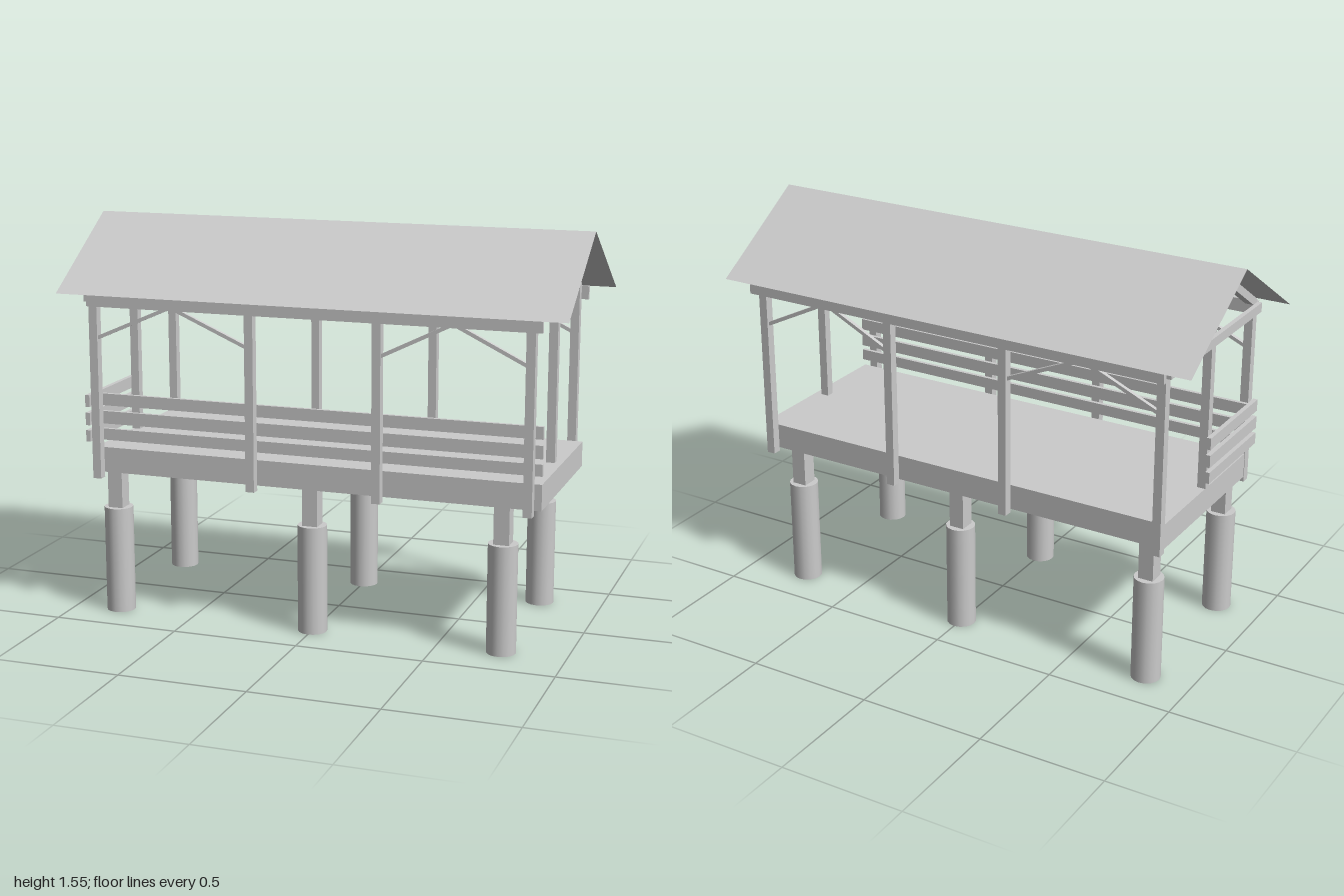
import * as THREE from 'three';

const material = new THREE.MeshStandardMaterial({ color: 0xcccccc });
const sheetMaterial = new THREE.MeshStandardMaterial({ color: 0xcccccc, side: THREE.DoubleSide });

export function createModel() {
  const model = new THREE.Group();

  // Box given by its minimum and maximum on each axis
  function box(name, x0, x1, y0, y1, z0, z1) {
    const mesh = new THREE.Mesh(new THREE.BoxGeometry(x1 - x0, y1 - y0, z1 - z0), material);
    mesh.position.set((x0 + x1) / 2, (y0 + y1) / 2, (z0 + z1) / 2);
    mesh.name = name;
    model.add(mesh);
    return mesh;
  }

  // Square-cut timber running from point a to point b
  function beam(name, a, b, width, height) {
    const start = new THREE.Vector3(...a), end = new THREE.Vector3(...b);
    const mesh = new THREE.Mesh(new THREE.BoxGeometry(width, height, start.distanceTo(end)), material);
    mesh.position.copy(start).lerp(end, 0.5);
    mesh.lookAt(end);
    mesh.name = name;
    model.add(mesh);
  }

  // Round piers with square stubs carrying the floor
  const pierGeometry = new THREE.CylinderGeometry(0.057, 0.057, 0.425, 16);
  for (const x of [-0.815, 0, 0.75]) {
    for (const z of [0.31, -0.32]) {
      const pier = new THREE.Mesh(pierGeometry, material);
      pier.position.set(x, 0.2125, z);
      pier.name = 'pier';
      model.add(pier);
      box('pierStub', x - 0.03, x + 0.03, 0.42, 0.57, z - 0.031, z + 0.031);
    }
  }

  // Floor deck
  box('floor', -0.885, 0.9, 0.57, 0.67, -0.355, 0.348);

  // Four frames: wall posts, tie beam and rafters
  const frames = [-0.87, -0.227, 0.276, 0.855];
  for (const x of frames) {
    box('frontPost', x - 0.017, x + 0.017, 0.55, 1.3, 0.348, 0.383);
    box('backPost', x - 0.017, x + 0.017, 0.555, 1.3, -0.39, -0.355);
    box('tieBeam', x - 0.035, x - 0.017, 1.25, 1.287, -0.388, 0.385);
    for (const s of [-1, 1]) beam('rafter', [x, 1.29, s * 0.368], [x, 1.527, 0], 0.034, 0.03);
  }

  // Gable posts at both ends
  for (const x of [frames[0], frames[3]]) {
    box('gablePost', x - 0.017, x + 0.017, 0.67, 1.54, -0.014, 0.019);
  }

  // Wall plates along the eaves
  box('frontWallPlate', -0.887, 0.9, 1.235, 1.287, 0.383, 0.4);
  box('backWallPlate', -0.887, 0.9, 1.235, 1.287, -0.408, -0.39);

  // Slanted braces in the two outer bays of each long side
  for (const z of [0.367, -0.372]) {
    for (const [x0, x1] of [[frames[0], frames[1]], [frames[2], frames[3]]]) {
      const mid = (x0 + x1) / 2;
      beam('brace', [x0 + 0.015, 1.11, z], [mid - 0.015, 1.237, z], 0.016, 0.014);
      beam('brace', [x1 - 0.015, 1.11, z], [mid + 0.015, 1.237, z], 0.016, 0.014);
    }
  }

  // Railing boards: along the front, and on half of the right end
  for (const [y0, y1] of [[0.7, 0.745], [0.765, 0.815], [0.838, 0.885]]) {
    box('frontRail', -0.887, 0.9, y0, y1, 0.333, 0.348);
    box('endRail', -0.905, -0.887, y0, y1, -0.025, 0.398);
  }

  // Thin gabled roof sheets
  const ridge = 1.553, eave = 1.283, reach = 0.43;
  const slope = Math.atan2(ridge - eave, reach);
  for (const s of [-1, 1]) {
    const geometry = new THREE.PlaneGeometry(2, Math.hypot(reach, ridge - eave));
    geometry.rotateX(-Math.PI / 2);
    geometry.rotateX(s * slope);
    const sheet = new THREE.Mesh(geometry, sheetMaterial);
    sheet.position.set(0, (ridge + eave) / 2, s * reach / 2);
    sheet.name = s > 0 ? 'frontRoof' : 'backRoof';
    model.add(sheet);
  }

  return model;
}
